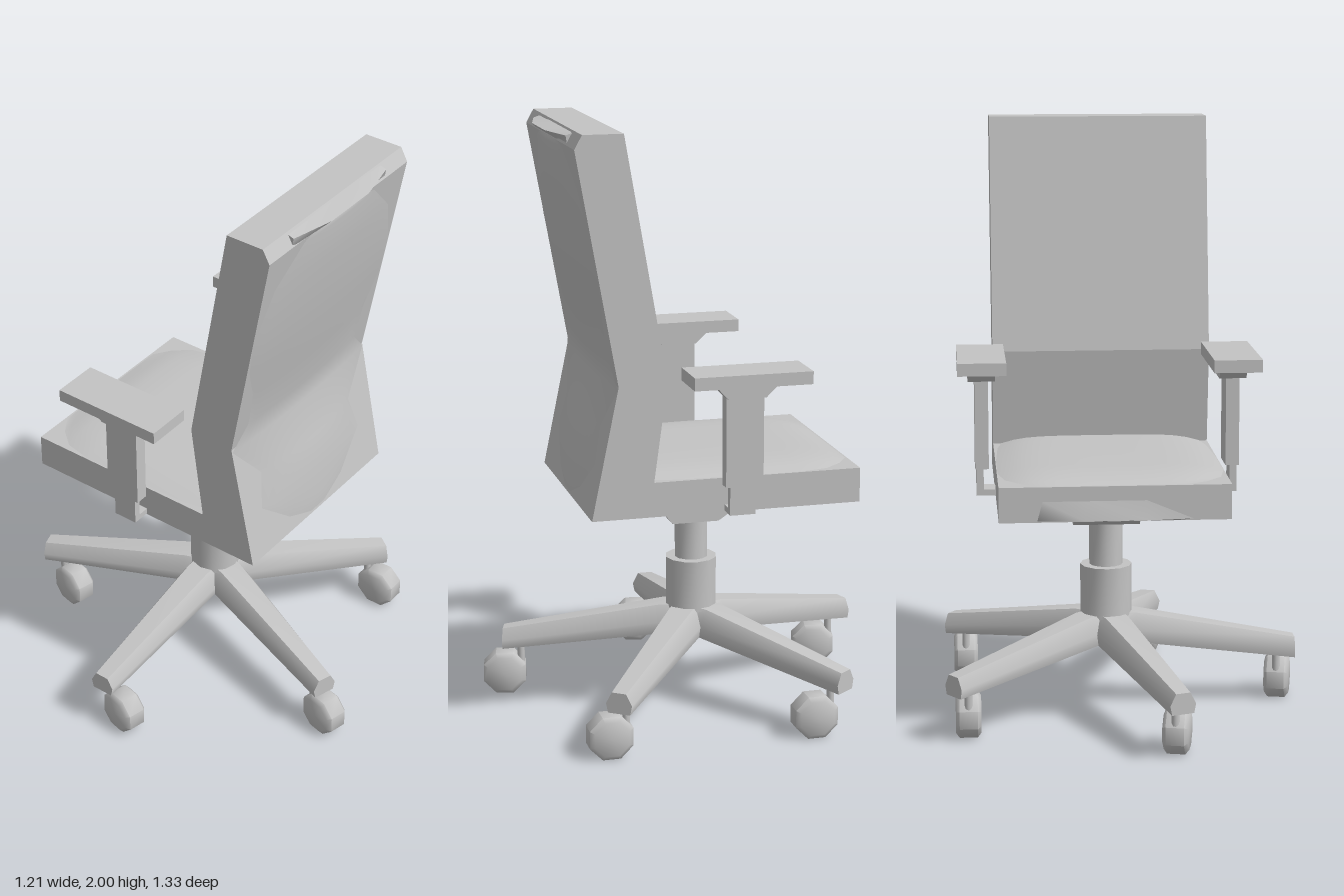
import * as THREE from 'three';
import { toCreasedNormals } from 'three/addons/utils/BufferGeometryUtils.js';

const CX = 0.0525; // centre line of the chair
const HUB_X = 0.05, HUB_Z = -0.035;

export function createModel() {
  const model = new THREE.Group();
  model.name = 'officeChair';
  const grey = new THREE.MeshStandardMaterial({ color: 0xc4c4c4, side: THREE.DoubleSide });
  grey.name = 'grey';

  const add = (parent, name, geo, x = 0, y = 0, z = 0) => {
    const mesh = new THREE.Mesh(geo, grey);
    mesh.name = name;
    mesh.position.set(x, y, z);
    parent.add(mesh);
    return mesh;
  };

  // Side profile of [z, y] points, extruded along x and centred on it
  const sideExtrude = (points, width) => {
    const shape = new THREE.Shape(points.map(([z, y]) => new THREE.Vector2(z, y)));
    const geo = new THREE.ExtrudeGeometry(shape, { depth: width, bevelEnabled: false });
    return geo.rotateY(-Math.PI / 2).translate(width / 2, 0, 0);
  };

  // Box given by its limits
  const block = (parent, name, x0, x1, y0, y1, z0, z1) =>
    add(parent, name, new THREE.BoxGeometry(x1 - x0, y1 - y0, z1 - z0),
      (x0 + x1) / 2, (y0 + y1) / 2, (z0 + z1) / 2);

  // Soft bulge: rows of [position, halfWidth, height], placed by a function
  const bulge = (rows, place, power) => {
    const n = 16;
    const geo = new THREE.PlaneGeometry(1, 1, n, rows.length - 1);
    const pos = geo.attributes.position;
    for (let i = 0; i < pos.count; i++) {
      const [s, w, h] = rows[Math.floor(i / (n + 1))];
      const u = ((i % (n + 1)) / n) * 2 - 1;
      pos.setXYZ(i, ...place(u * w, s, h * (1 - Math.abs(u) ** power)));
    }
    geo.computeVertexNormals();
    return geo;
  };

  // Skin over equal-sized rings of points, with closed ends
  const loft = (rings) => {
    const n = rings[0].length, index = [];
    for (let r = 0; r < rings.length - 1; r++) {
      for (let i = 0; i < n; i++) {
        const a = r * n + i, b = r * n + (i + 1) % n;
        index.push(a, b, a + n, b, b + n, a + n);
      }
    }
    const last = (rings.length - 1) * n;
    for (let i = 1; i < n - 1; i++) {
      index.push(0, i + 1, i, last, last + i, last + i + 1);
    }
    const geo = new THREE.BufferGeometry();
    geo.setAttribute('position', new THREE.Float32BufferAttribute(rings.flat(2), 3));
    geo.setIndex(index);
    return toCreasedNormals(geo, 0.9);
  };

  // Backrest: bent slab with a chamfered top rear edge
  add(model, 'backrest', sideExtrude([
    [0.395, 0.765], [0.305, 1.2], [0.44, 1.955], [0.415, 2],
    [0.283, 2], [0.145, 1.21], [0.19, 0.88], [0.2, 0.765],
  ], 0.745), CX);

  // Padding swelling out of the back of the backrest
  const rearZ = (y) => (y < 1.2 ? 0.395 - (y - 0.765) * 0.207 : 0.305 + (y - 1.2) * 0.179);
  add(model, 'backPadding', bulge([
    [0.775, 0.04, 0], [0.82, 0.15, 0.008], [0.93, 0.28, 0.02], [1.05, 0.25, 0.025],
    [1.19, 0.37, 0.015], [1.27, 0.3, 0.012], [1.4, 0.31, 0.016], [1.52, 0.36, 0.02],
    [1.65, 0.37, 0.022], [1.82, 0.31, 0.018], [1.94, 0.19, 0.008], [1.955, 0.15, 0],
  ], (x, y, h) => [x, y, rearZ(y) + 0.001 + h], 2), CX);

  // Rim at the top rear edge
  add(model, 'topRim', loft([[-0.25, 0], [-0.1, 0.035], [0.1, 0.035], [0.25, 0]].map(([x, d]) => [
    [x, 1.995, 0.41], [x, 1.985, 0.44 + d], [x, 1.955, 0.435],
  ])), CX);

  // Seat base and its slightly domed cushion
  block(model, 'seat', CX - 0.3725, CX + 0.3725, 0.765, 0.88, -0.507, 0.25);
  add(model, 'seatCushion', bulge([
    [-0.5, 0.24, 0], [-0.46, 0.3, 0.01], [-0.4, 0.35, 0.023], [-0.3, 0.37, 0.026],
    [-0.1, 0.37, 0.026], [0.1, 0.36, 0.026], [0.22, 0.34, 0.024],
  ], (x, z, h) => [x, 0.881 + h, z], 5), CX);

  // Lower front lip of the seat
  add(model, 'seatLip', loft([[-0.25, 0], [-0.1, 0.016], [0.1, 0.016], [0.25, 0]].map(([x, d]) => [
    [x, 0.84, -0.505], [x, 0.77, -0.507 - d], [x, 0.764, -0.5],
  ])), CX);

  // Tilt mechanism, gas column and socket
  add(model, 'tiltMechanism', sideExtrude(
    [[0.145, 0.768], [0.06, 0.655], [-0.1, 0.655], [-0.27, 0.768]], 0.225), CX);
  add(model, 'gasColumn', toCreasedNormals(new THREE.CylinderGeometry(0.057, 0.057, 0.18, 12), 0.9),
    HUB_X, 0.58, HUB_Z);
  add(model, 'columnSocket', toCreasedNormals(new THREE.CylinderGeometry(0.088, 0.088, 0.235, 12), 0.9),
    HUB_X, 0.3875, HUB_Z);

  // Armrests, mirrored about the centre line
  for (const side of [-1, 1]) {
    const arm = new THREE.Group();
    arm.name = side > 0 ? 'leftArmrest' : 'rightArmrest';
    arm.position.x = CX;
    const part = (name, a, b, ...rest) =>
      block(arm, name, Math.min(side * a, side * b), Math.max(side * a, side * b), ...rest);
    part('armPad', 0.338, 0.497, 1.203, 1.245, -0.3, 0.09);
    part('armPost', 0.395, 0.44, 0.865, 1.2, -0.155, -0.03);
    part('armStem', 0.412, 0.436, 0.77, 0.87, -0.13, -0.045);
    part('armBracket', 0.36, 0.436, 0.77, 0.79, -0.13, -0.045);
    add(arm, 'armCollar', sideExtrude(
      [[0.01, 1.204], [-0.03, 1.16], [-0.155, 1.16], [-0.2, 1.204]], 0.09), side * 0.417);
    model.add(arm);
  }

  // Five-legged base
  const legRing = (r, w, y0, y1) => {
    const h = y1 - y0;
    return [[-w * 0.85, y0], [-w, y0 + h * 0.45], [-w * 0.55, y1],
      [w * 0.55, y1], [w, y0 + h * 0.45], [w * 0.85, y0]].map(([z, y]) => [r, y, z]);
  };
  const legGeo = loft([
    legRing(0, 0.078, 0.255, 0.34), legRing(0.1, 0.073, 0.24, 0.338), legRing(0.65, 0.045, 0.165, 0.235),
  ]);

  // Chunky eight-sided caster wheel with its axle along x
  const wheelGeo = toCreasedNormals(new THREE.LatheGeometry(
    [[0, -0.042], [0.062, -0.042], [0.078, -0.03], [0.078, 0.03], [0.062, 0.042], [0, 0.042]]
      .map(([r, y]) => new THREE.Vector2(r, y)), 8), 0.9).rotateZ(Math.PI / 2).rotateX(Math.PI / 8);
  const stemGeo = new THREE.CylinderGeometry(0.013, 0.013, 0.13, 8);

  for (let i = 0; i < 5; i++) {
    const angle = Math.PI + (i * Math.PI * 2) / 5;
    const leg = add(model, 'baseLeg', legGeo, HUB_X, 0, HUB_Z);
    leg.rotation.y = -angle;
    const x = HUB_X + Math.cos(angle) * 0.59, z = HUB_Z + Math.sin(angle) * 0.59;
    add(model, 'casterStem', stemGeo, x, 0.14, z);
    const onRight = x < 0;
    const wheel = add(model, 'casterWheel', wheelGeo, x - (onRight ? 0.012 : 0), 0.076, z + 0.055);
    wheel.rotation.y = onRight ? -0.23 : 0;
  }

  return model;
}
